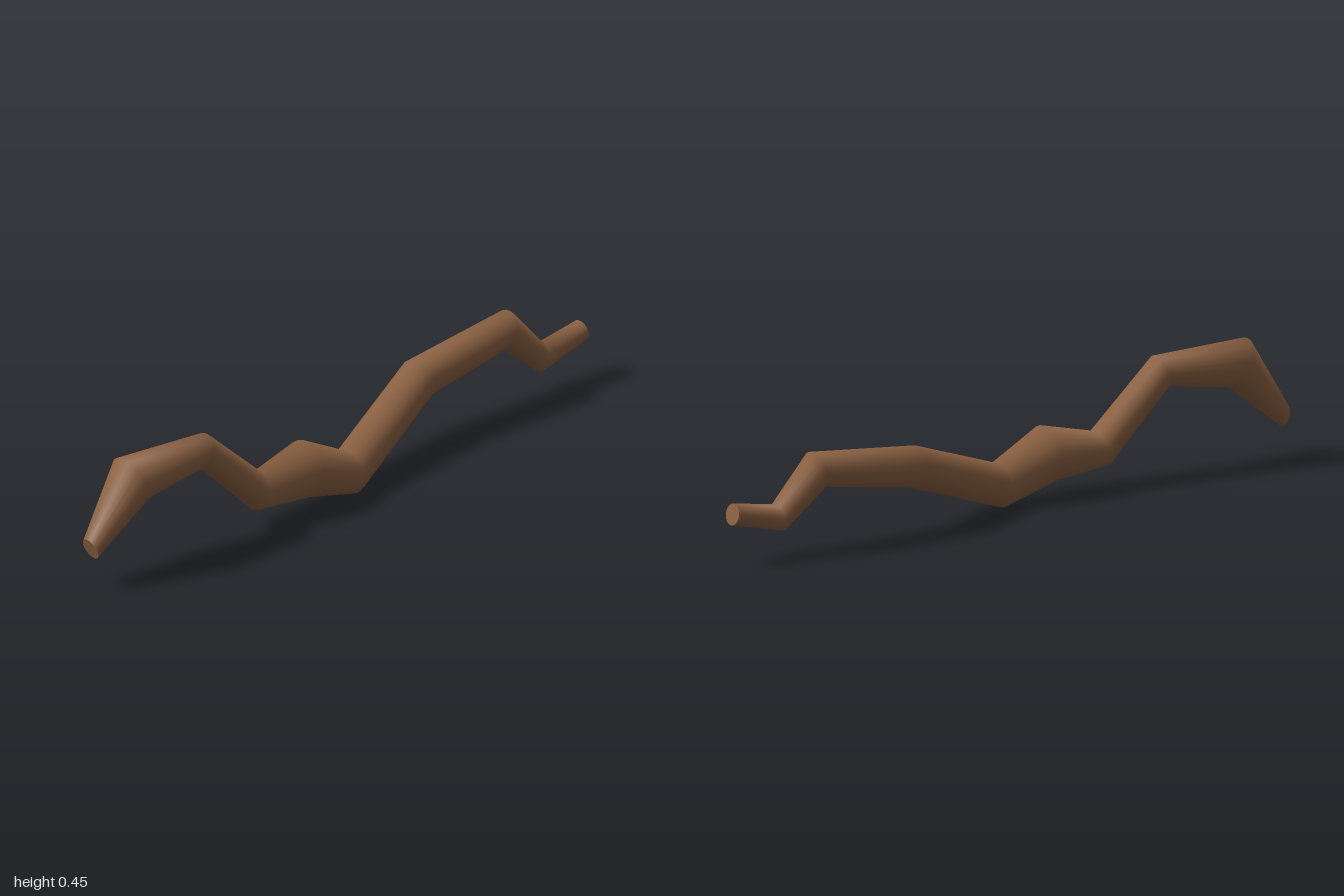
import * as THREE from 'three';

// Centre and radius of the root at each bend: x, y, z, r
const STATIONS = [
  [-0.69, 0.158, 0.967, 0.039],
  [-0.57, 0.370, 0.827, 0.090],
  [-0.365, 0.383, 0.592, 0.060],
  [-0.21, 0.148, 0.393, 0.067],
  [-0.075, 0.163, 0.222, 0.100],
  [0.05, 0.081, 0.055, 0.078],
  [0.22, 0.245, -0.385, 0.073],
  [0.465, 0.298, -0.71, 0.067],
  [0.567, 0.148, -0.822, 0.050],
  [0.685, 0.188, -0.977, 0.038],
];
const SIDES = 24;

// A frame at each bend, lying in the plane that halves the angle
function makeFrames() {
  const points = STATIONS.map(([x, y, z]) => new THREE.Vector3(x, y, z));
  const last = points.length - 1;
  const direction = (i) => points[i + 1].clone().sub(points[i]).normalize();
  return points.map((center, i) => {
    const tangent = new THREE.Vector3();
    if (i > 0) tangent.add(direction(i - 1));
    if (i < last) tangent.add(direction(i));
    if (i === 0) tangent.y *= 0.3; // the front end is cut almost upright
    tangent.normalize();
    const side = tangent.clone().cross(new THREE.Vector3(0, 1, 0)).normalize();
    const up = side.clone().cross(tangent);
    return { center, tangent, side, up, radius: STATIONS[i][3] };
  });
}

// Skin joining the round cross-sections
function makeSkin(frames) {
  const positions = [];
  const indices = [];
  frames.forEach(({ center, side, up, radius }, i) => {
    for (let j = 0; j < SIDES; j++) {
      const angle = (j / SIDES) * Math.PI * 2;
      const p = center.clone()
        .addScaledVector(side, Math.cos(angle) * radius)
        .addScaledVector(up, Math.sin(angle) * radius);
      positions.push(p.x, p.y, p.z);
      if (i === frames.length - 1) continue;
      const a = i * SIDES + j;
      const b = i * SIDES + ((j + 1) % SIDES);
      indices.push(a, a + SIDES, b, b, a + SIDES, b + SIDES);
    }
  });
  const geometry = new THREE.BufferGeometry();
  geometry.setAttribute('position', new THREE.Float32BufferAttribute(positions, 3));
  geometry.setIndex(indices);
  geometry.computeVertexNormals();
  return geometry;
}

// Flat disc closing one end; sign is the way it faces along the root
function makeCap({ center, tangent, side, up, radius }, sign) {
  const basis = new THREE.Matrix4().makeBasis(
    side.clone().multiplyScalar(-sign), up, tangent.clone().multiplyScalar(sign));
  return new THREE.CircleGeometry(radius, SIDES)
    .applyMatrix4(basis.setPosition(center));
}

export function createModel() {
  const root = new THREE.Group();
  root.name = 'crookedRoot';
  const bark = new THREE.MeshStandardMaterial({ color: 0x8b6142 });
  const add = (name, geometry) => {
    const mesh = new THREE.Mesh(geometry, bark);
    mesh.name = name;
    root.add(mesh);
  };

  const frames = makeFrames();
  add('rootBody', makeSkin(frames));
  add('frontEnd', makeCap(frames[0], -1));
  add('backEnd', makeCap(frames[frames.length - 1], 1));
  return root;
}
